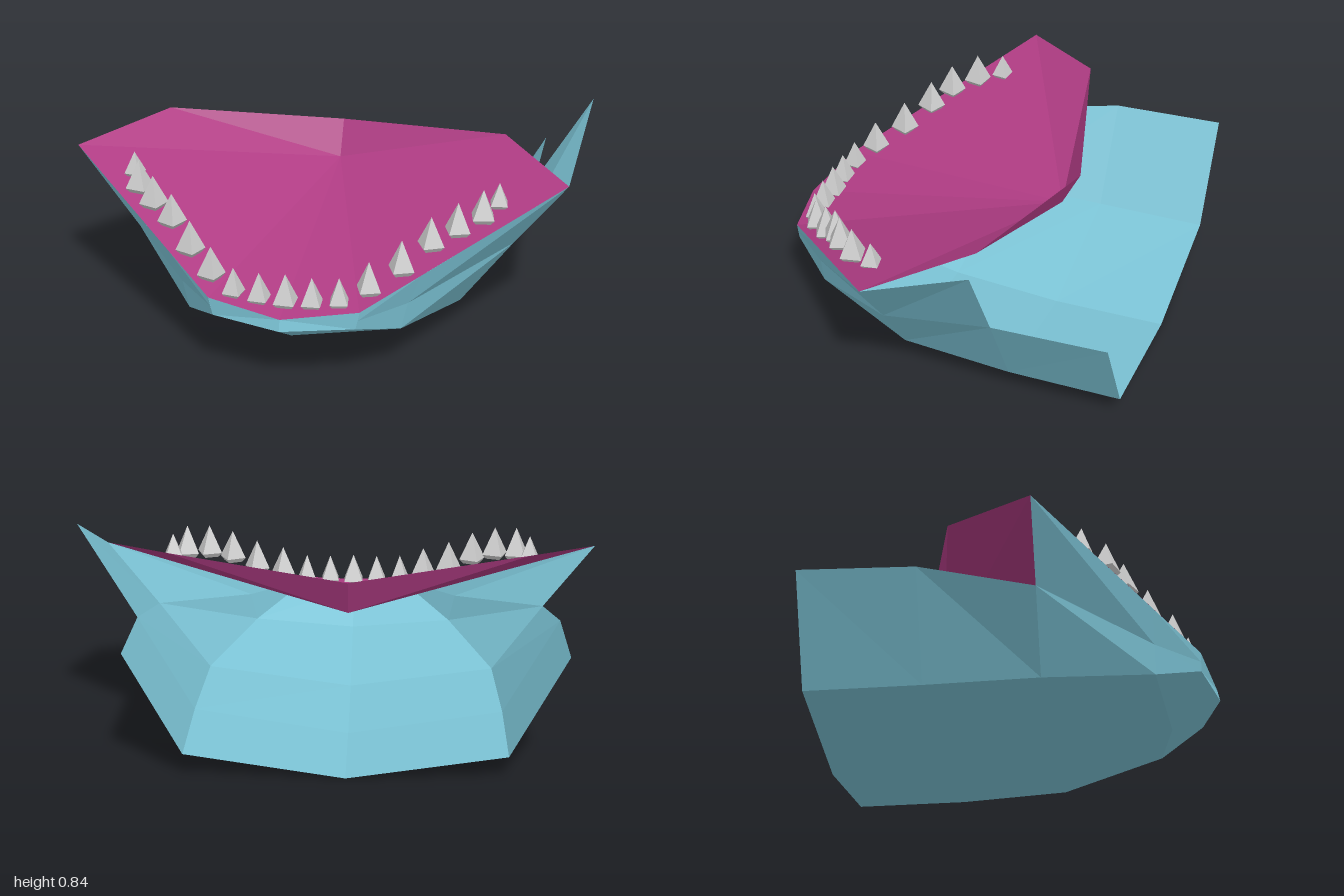
import * as THREE from 'three';

const CX = -0.022; // the jaw's plane of symmetry
const skin = new THREE.MeshStandardMaterial({ color: 0x7cc4d6, flatShading: true, side: THREE.DoubleSide });
const gum = new THREE.MeshStandardMaterial({ color: 0xb03c84, flatShading: true, side: THREE.DoubleSide });
const enamel = new THREE.MeshStandardMaterial({ color: 0xcccccc, flatShading: true, side: THREE.DoubleSide });

// Builds a mesh from polygons; each is split as a fan. side = -1 mirrors it.
function facets(name, polygons, material, side = 1) {
  const positions = [];
  for (const poly of polygons) {
    for (let i = 1; i < poly.length - 1; i++) {
      const tri = side > 0 ? [poly[0], poly[i], poly[i + 1]] : [poly[0], poly[i + 1], poly[i]];
      for (const [x, y, z] of tri) positions.push(CX + side * x, y, z);
    }
  }
  const geometry = new THREE.BufferGeometry();
  geometry.setAttribute('position', new THREE.Float32BufferAttribute(positions, 3));
  geometry.computeVertexNormals();
  const mesh = new THREE.Mesh(geometry, material);
  mesh.name = name;
  return mesh;
}

// Half cross-sections from nose to throat: keel, lower edge, side, rim
const sections = [
  [[0, 0.255, 0.76], [0.27, 0.26, 0.69], [0.278, 0.295, 0.69], [0.285, 0.33, 0.69]],
  [[0, 0.14, 0.57], [0.41, 0.19, 0.52], [0.435, 0.3, 0.52], [0.487, 0.422, 0.52]],
  [[0, 0.04, 0.11], [0.575, 0.12, 0.11], [0.775, 0.39, 0.11], [0.975, 0.645, 0.11]],
  [[0, 0.005, -0.32], [0.595, 0.1, -0.32], [0.805, 0.473, -0.32]],
  [[0, 0.005, -0.76], [0.595, 0.095, -0.76], [0.805, 0.482, -0.76]],
];
const lipTop = [0, 0.3, 0.75];
const [nose, , cheek, throat] = sections;

function jawHalf(side) {
  const polygons = [];
  for (let s = 0; s < sections.length - 1; s++) {
    const a = sections[s], b = sections[s + 1];
    for (let i = 0; i < Math.min(a.length, b.length) - 1; i++) {
      polygons.push([a[i], b[i], b[i + 1], a[i + 1]]);
    }
  }
  // front lip
  polygons.push([lipTop, nose[0], nose[1], nose[3]]);
  return facets(side > 0 ? 'leftJaw' : 'rightJaw', polygons, skin, side);
}

function gumHalf(side) {
  const tip = cheek[3], backLow = [0, 0.5, -0.33], backTop = [0, 0.64, -0.4];
  const corner = [0.69, 0.7, -0.225];
  return facets(side > 0 ? 'leftGum' : 'rightGum', [
    [backLow, lipTop, nose[3], tip], // mouth floor
    [backLow, tip, corner, backTop], // raised back wall
  ], gum, side);
}

// Pointed four-sided tooth with a narrowed root
function tooth(x, y, z, height, radius, turn) {
  const profile = [[0, 0], [0.7, 0], [1, 0.14], [0, 1]]
    .map(([r, h]) => new THREE.Vector2(r * radius, h * height));
  const mesh = new THREE.Mesh(new THREE.LatheGeometry(profile, 4), enamel);
  mesh.name = 'tooth';
  mesh.position.set(CX + x, y, z);
  mesh.rotation.y = Math.PI / 4 + turn;
  return mesh;
}

export function createModel() {
  const group = new THREE.Group();
  group.name = 'lowerJaw';
  for (const side of [1, -1]) group.add(jawHalf(side), gumHalf(side));

  // Tall cheek flap on the left side only
  const flapTip = [1.02, 0.842, -0.32];
  group.add(facets('cheekFlap', [[cheek[2], throat[2], flapTip, cheek[3]]], skin));

  // Teeth: x, base y, z, height, radius, turn
  const teeth = new THREE.Group();
  teeth.name = 'teeth';
  const row = [
    [0.1, 0.315, 0.655, 0.12, 0.05, 0.05],
    [0.2, 0.325, 0.645, 0.115, 0.047, 0.15],
    [0.3, 0.36, 0.59, 0.13, 0.055, 0.35],
    [0.405, 0.41, 0.5, 0.135, 0.057, 0.4],
    [0.5, 0.48, 0.415, 0.13, 0.057, 0.45],
    [0.59, 0.52, 0.355, 0.13, 0.057, 0.35],
    [0.672, 0.543, 0.27, 0.13, 0.057, 0.2],
    [0.72, 0.565, 0.175, 0.1, 0.045, 0.15],
  ];
  teeth.add(tooth(0, 0.31, 0.655, 0.13, 0.055, 0));
  for (const side of [1, -1]) {
    for (const [x, y, z, h, r, turn] of row) teeth.add(tooth(side * x, y, z, h, r, side * turn));
  }
  group.add(teeth);
  return group;
}
